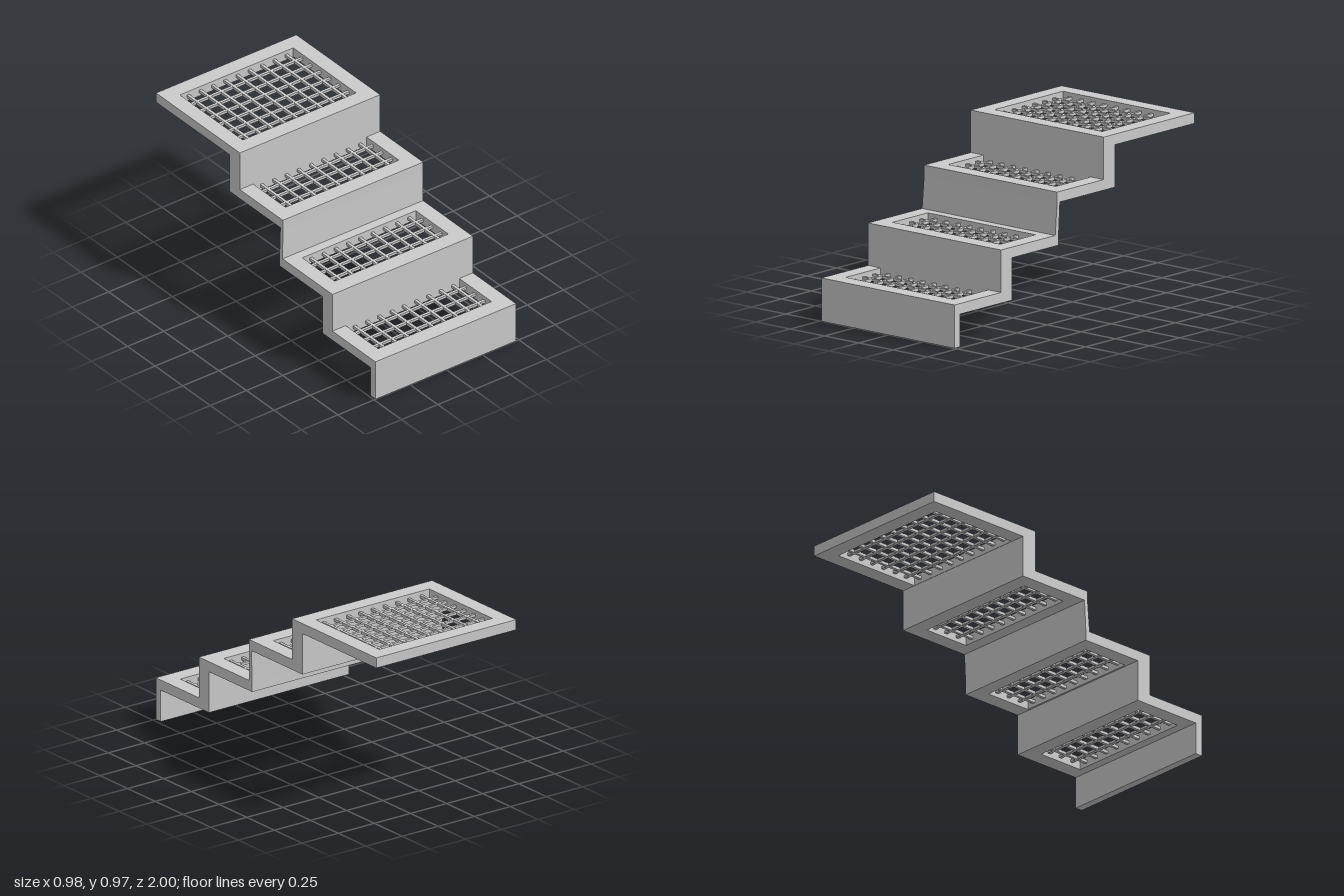
import * as THREE from 'three';

const SLAB = 0.06; // tread thickness
const BAR = 0.017; // grating bar width
const material = new THREE.MeshStandardMaterial({ color: 0xcccccc, flatShading: true });

// Treads from bottom to top; z ranges run back to front
const LOW = { x: [-0.49, 0.48], holeX: [-0.398, 0.386], barX: 0 };
const HIGH = { x: [-0.482, 0.487], holeX: [-0.39, 0.393], barX: 0.006 };
const TREADS = [
  { ...LOW, top: 0.245, z: [0.52, 1], holeZ: [0.61, 0.902], firstBar: 0.668, bars: 3 },
  { ...LOW, top: 0.485, z: [0.13, 0.61], holeZ: [0.215, 0.51], firstBar: 0.276, bars: 3 },
  { ...HIGH, top: 0.73, z: [-0.333, 0.15], holeZ: [-0.24, 0.053], firstBar: -0.184, bars: 3 },
  { ...HIGH, top: 0.97, z: [-1, -0.24], holeZ: [-0.905, -0.335], firstBar: -0.827, bars: 6 },
];

function addMesh(group, geometry, name) {
  const mesh = new THREE.Mesh(geometry, material);
  mesh.name = name;
  group.add(mesh);
  return mesh;
}

function boxBetween([x0, x1], [y0, y1], [z0, z1]) {
  return new THREE.BoxGeometry(x1 - x0, y1 - y0, z1 - z0)
    .translate((x0 + x1) / 2, (y0 + y1) / 2, (z0 + z1) / 2);
}

// Rectangle outline in the ground plane (shape y is -z)
function rectangle(target, [x0, x1], [z0, z1]) {
  target.moveTo(x0, -z1);
  target.lineTo(x1, -z1);
  target.lineTo(x1, -z0);
  target.lineTo(x0, -z0);
  target.closePath();
  return target;
}

// Slab with a rectangular opening filled by a grid of bars
function makeTread(t) {
  const group = new THREE.Group();
  group.name = 'tread';
  const shape = rectangle(new THREE.Shape(), t.x, t.z);
  shape.holes.push(rectangle(new THREE.Path(), t.holeX, t.holeZ));
  const frame = new THREE.ExtrudeGeometry(shape, { depth: SLAB, bevelEnabled: false });
  frame.rotateX(-Math.PI / 2).translate(0, t.top - SLAB, 0);
  addMesh(group, frame, 'treadFrame');

  const mid = t.top - SLAB / 2;
  const h = BAR / 2;
  for (let i = -4; i <= 4; i++) {
    const x = t.barX + i * 0.0847;
    addMesh(group, boxBetween([x - h, x + h], [mid - h, mid + h], t.holeZ), 'lengthwiseBar');
  }
  for (let i = 0; i < t.bars; i++) {
    const z = t.firstBar + i * 0.0847;
    addMesh(group, boxBetween(t.holeX, [mid - h + 0.001, mid + h - 0.001], [z - h, z + h]), 'crosswiseBar');
  }
  return group;
}

// Upright panel whose lower and upper ends may differ in x and z
function makeRiser(group, y, low, high) {
  const geometry = new THREE.BoxGeometry(1, 1, 1);
  const p = geometry.attributes.position;
  for (let i = 0; i < p.count; i++) {
    const up = p.getY(i) > 0;
    const end = up ? high : low;
    p.setXYZ(i, end.x[p.getX(i) > 0 ? 1 : 0], y[up ? 1 : 0], end.z[p.getZ(i) > 0 ? 1 : 0]);
  }
  geometry.computeVertexNormals();
  addMesh(group, geometry, 'riser');
}

export function createModel() {
  const model = new THREE.Group();
  model.name = 'stairs';
  for (const t of TREADS) model.add(makeTread(t));

  // Risers: each fills the gap between neighbouring treads
  const ends = [
    [{ x: LOW.x, z: [0.955, 1] }, { x: LOW.x, z: [0.955, 1] }],
    [{ x: LOW.x, z: [0.52, 0.61] }, { x: LOW.x, z: [0.52, 0.61] }],
    [{ x: LOW.x, z: [0.13, 0.158] }, { x: HIGH.x, z: [0.127, 0.15] }],
    [{ x: HIGH.x, z: [-0.333, -0.24] }, { x: HIGH.x, z: [-0.333, -0.24] }],
  ];
  ends.forEach(([low, high], i) => {
    const bottom = i ? TREADS[i - 1].top : 0;
    makeRiser(model, [bottom, TREADS[i].top - SLAB], low, high);
  });
  return model;
}
